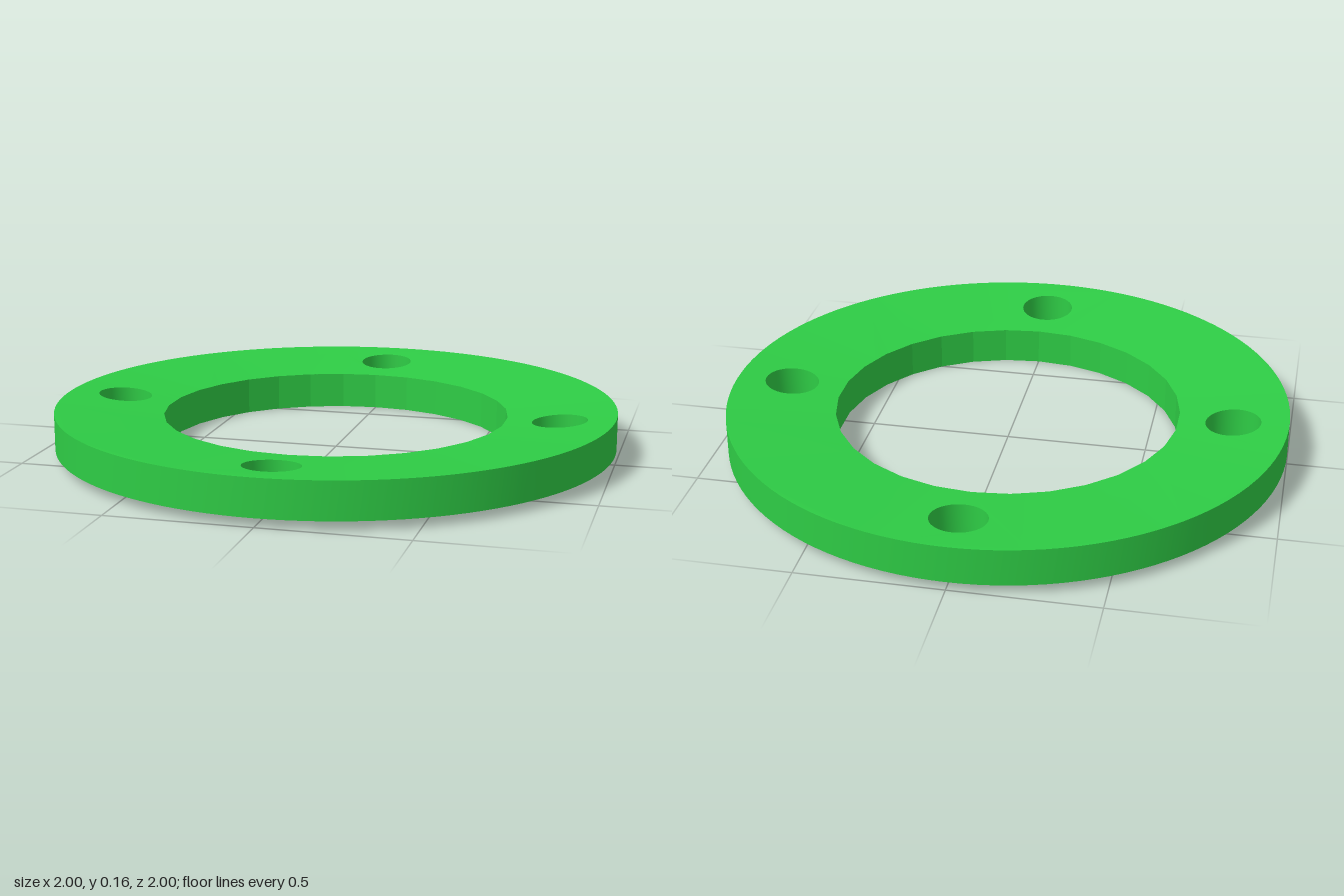
import * as THREE from 'three';
import { mergeGeometries, mergeVertices } from 'three/addons/utils/BufferGeometryUtils.js';

const OUTER = 1, INNER = 0.615, THICK = 0.13, RISE = 0.03;
const HOLE_R = 0.097, HOLE_AT = 0.805, HOLE_SIDES = 40, INNER_SIDES = 30;
const DEG = Math.PI / 180;

// Conical dish: the ring rises from the bore to the rim
function dish(geo, lift = 0) {
  const p = geo.attributes.position;
  for (let i = 0; i < p.count; i++) {
    const r = Math.hypot(p.getX(i), p.getZ(i));
    p.setY(i, p.getY(i) + lift + RISE * (r - INNER) / (OUTER - INNER));
  }
  geo.computeVertexNormals();
  return geo;
}

// Radius of the faceted bore at an angle measured from the z axis
function boreRadius(deg) {
  const step = 360 / INNER_SIDES;
  const local = (((deg % step) + step) % step) - step / 2;
  return INNER * Math.cos(step / 2 * DEG) / Math.cos(local * DEG);
}

// One 30 degree piece of the flat ring outline, with a bolt hole in every third
function sector(mid, hasHole) {
  const pts = [];
  const at = (deg, r) => new THREE.Vector2(r * Math.sin(deg * DEG), r * Math.cos(deg * DEG));
  for (let d = -15; d <= 15; d += 3) pts.push(at(mid + d, OUTER));
  for (let d = 15; d >= -15; d -= 3) pts.push(at(mid + d, boreRadius(mid + d)));
  const shape = new THREE.Shape(pts);
  if (hasHole) {
    const c = at(mid, HOLE_AT), hole = [];
    for (let i = 0; i < HOLE_SIDES; i++) {
      hole.push(at(i * 360 / HOLE_SIDES, HOLE_R).add(c));
    }
    shape.holes.push(new THREE.Path(hole));
  }
  return new THREE.ShapeGeometry(shape);
}

function ringFace(up) {
  const parts = [];
  for (let i = 0; i < 12; i++) parts.push(sector(i * 30, i % 3 === 0));
  let geo = mergeGeometries(parts);
  geo.deleteAttribute('normal');
  geo.deleteAttribute('uv');
  geo = mergeVertices(geo);
  geo.rotateX(up ? -Math.PI / 2 : Math.PI / 2);
  return dish(geo, up ? THICK : 0);
}

// Open upright wall; inward walls have their faces turned round
function wall(radius, sides, inward, x = 0, z = 0) {
  const geo = new THREE.CylinderGeometry(radius, radius, THICK, sides, 1, true);
  geo.translate(x, THICK / 2, z);
  if (inward) {
    const idx = geo.index.array;
    for (let i = 0; i < idx.length; i += 3) [idx[i], idx[i + 1]] = [idx[i + 1], idx[i]];
  }
  geo.deleteAttribute('uv');
  geo.deleteAttribute('normal');
  return dish(mergeVertices(geo));
}

export function createModel() {
  const group = new THREE.Group();
  group.name = 'dishedWasher';
  const green = new THREE.MeshStandardMaterial({ color: 0x2ecc45 });
  const faceted = new THREE.MeshStandardMaterial({ color: 0x2ecc45, flatShading: true });
  const add = (name, geo, mat = green) => {
    const mesh = new THREE.Mesh(geo, mat);
    mesh.name = name;
    group.add(mesh);
  };

  // Ring body
  add('topFace', ringFace(true));
  add('bottomFace', ringFace(false));
  add('outerRim', wall(OUTER, 120, false));
  add('innerBore', wall(INNER, INNER_SIDES, true), faceted);

  // Four bolt holes
  ['front', 'left', 'back', 'right'].forEach((side, i) => {
    const a = i * Math.PI / 2;
    add(side + 'BoltHole', wall(HOLE_R, HOLE_SIDES, true, HOLE_AT * Math.sin(a), HOLE_AT * Math.cos(a)));
  });
  return group;
}
